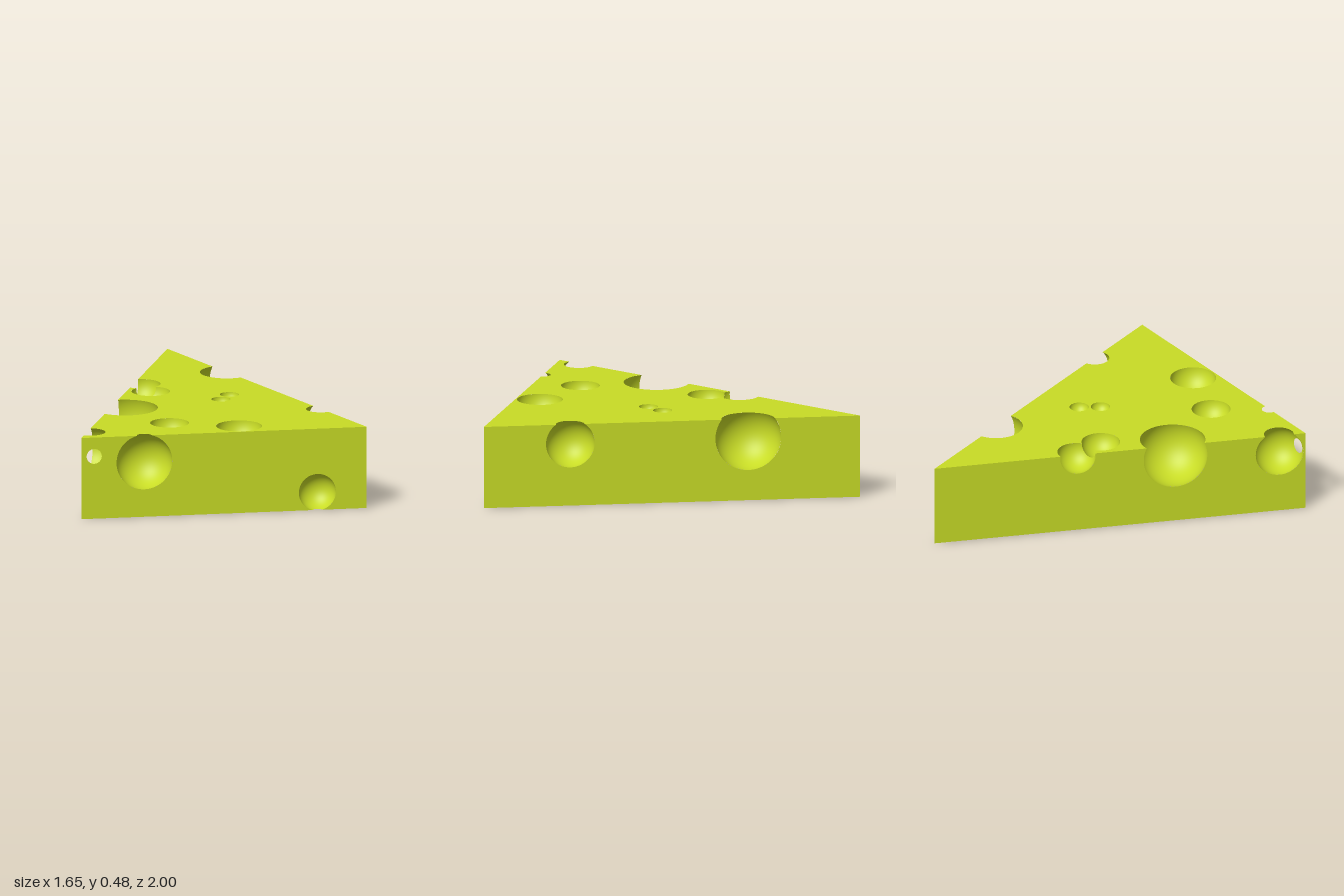
import * as THREE from 'three';

const H = 0.477, W = 0.825;
const V = (x, y, z) => new THREE.Vector3(x, y, z);

// Round bubbles: x, y, z of the centre, radius
const bubbles = [
  [-0.46, 0.322, 1.0, 0.161], [0.54, 0.104, 1.0, 0.107],      // front face
  [-0.75, 0.366, 0.867, 0.14],                                // pierces the front left corner
  [0.633, 0.364, 0.541, 0.14], [0.246, 0.366, -0.406, 0.189], // +x face
  [-0.462, 0.40, 0.33, 0.202], [-0.28, 0.46, -0.21, 0.111],   // -x face
  [-0.255, H, -0.025, 0.11], [-0.27, H, 0.727, 0.111],        // top face
  [0.11, H, 0.863, 0.131], [0.175, H, 0.12, 0.055], [0.11, H, 0.222, 0.055],
].map(([x, y, z, r]) => ({ c: V(x, y, z), r }));

const outside = (b) => (p) => p.distanceTo(b.c) - b.r;
const outsideAll = (p) => Math.min(...bubbles.map((b) => outside(b)(p)));

// Keep the part of a convex polygon where f > 0
function clip(poly, f) {
  const out = [];
  poly.forEach((a, i) => {
    const b = poly[(i + 1) % poly.length];
    const ina = f(a) > 0, inb = f(b) > 0;
    if (ina) out.push(a);
    if (ina !== inb) {
      let lo = 0, hi = 1;
      for (let k = 0; k < 24; k++) {
        const m = (lo + hi) / 2;
        if ((f(a.clone().lerp(b, m)) > 0) === ina) lo = m; else hi = m;
      }
      out.push(a.clone().lerp(b, (lo + hi) / 2));
    }
  });
  return out.length > 2 ? out : [];
}

// Split a triangle finely near the bubble rims only
function refine([a, b, c], out) {
  const size = Math.max(a.distanceTo(b), b.distanceTo(c), c.distanceTo(a));
  const mid = a.clone().add(b).add(c).divideScalar(3);
  if (size < 0.02 || Math.abs(outsideAll(mid)) > size) { out.push([a, b, c]); return out; }
  const ab = a.clone().lerp(b, 0.5), bc = b.clone().lerp(c, 0.5), ca = c.clone().lerp(a, 0.5);
  [[a, ab, ca], [ab, b, bc], [ca, bc, c], [ab, bc, ca]].forEach((t) => refine(t, out));
  return out;
}

// Fan the polygons into a geometry, with a normal rule
function polysToGeometry(polys, normalAt) {
  const pos = [], nor = [];
  for (const p of polys) {
    for (let i = 1; i < p.length - 1; i++) {
      for (const v of [p[0], p[i], p[i + 1]]) {
        pos.push(v.x, v.y, v.z);
        const n = normalAt(v);
        nor.push(n.x, n.y, n.z);
      }
    }
  }
  const g = new THREE.BufferGeometry();
  g.setAttribute('position', new THREE.Float32BufferAttribute(pos, 3));
  g.setAttribute('normal', new THREE.Float32BufferAttribute(nor, 3));
  return g;
}

export function createModel() {
  const model = new THREE.Group();
  model.name = 'cheeseWedge';
  const cheese = new THREE.MeshStandardMaterial({ color: 0xc8dc26 });
  cheese.name = 'cheese';

  // Wedge faces, each a list of corners running counter-clockwise from outside
  const plan = [[-W, 1], [W, 1], [0, -1]];
  const top = plan.map(([x, z]) => V(x, H, z));
  const bottom = plan.map(([x, z]) => V(x, 0, z));
  const faces = { topFace: top, bottomFace: [...bottom].reverse() };
  ['frontFace', 'rightFace', 'leftFace'].forEach((name, i) => {
    const j = (i + 1) % 3;
    faces[name] = [bottom[i], bottom[j], top[j], top[i]];
  });

  const planes = [];
  for (const [name, pts] of Object.entries(faces)) {
    const plane = new THREE.Plane().setFromCoplanarPoints(pts[0], pts[1], pts[2]);
    planes.push(plane);
    const tris = [];
    for (let i = 1; i < pts.length - 1; i++) refine([pts[0], pts[i], pts[i + 1]], tris);
    const polys = tris.map((t) => clip(t, outsideAll));
    const mesh = new THREE.Mesh(polysToGeometry(polys, () => plane.normal), cheese);
    mesh.name = name;
    model.add(mesh);
  }

  // Bubble hollows: inward-facing spheres trimmed to the wedge and to each other
  bubbles.forEach((b, n) => {
    const src = new THREE.SphereGeometry(b.r, 56, 32).toNonIndexed().attributes.position;
    const limits = planes.map((pl) => (p) => -pl.distanceToPoint(p));
    bubbles.forEach((o) => {
      if (o !== b && o.c.distanceTo(b.c) < o.r + b.r) limits.push(outside(o));
    });
    const polys = [];
    for (let i = 0; i < src.count; i += 3) {
      const tri = [i + 2, i + 1, i].map((k) => V().fromBufferAttribute(src, k).add(b.c));
      const poly = limits.reduce((p, f) => (p.length ? clip(p, f) : p), tri);
      if (poly.length) polys.push(poly);
    }
    const inward = (v) => b.c.clone().sub(v).normalize();
    const mesh = new THREE.Mesh(polysToGeometry(polys, inward), cheese);
    mesh.name = `bubbleHollow${n + 1}`;
    model.add(mesh);
  });

  return model;
}
